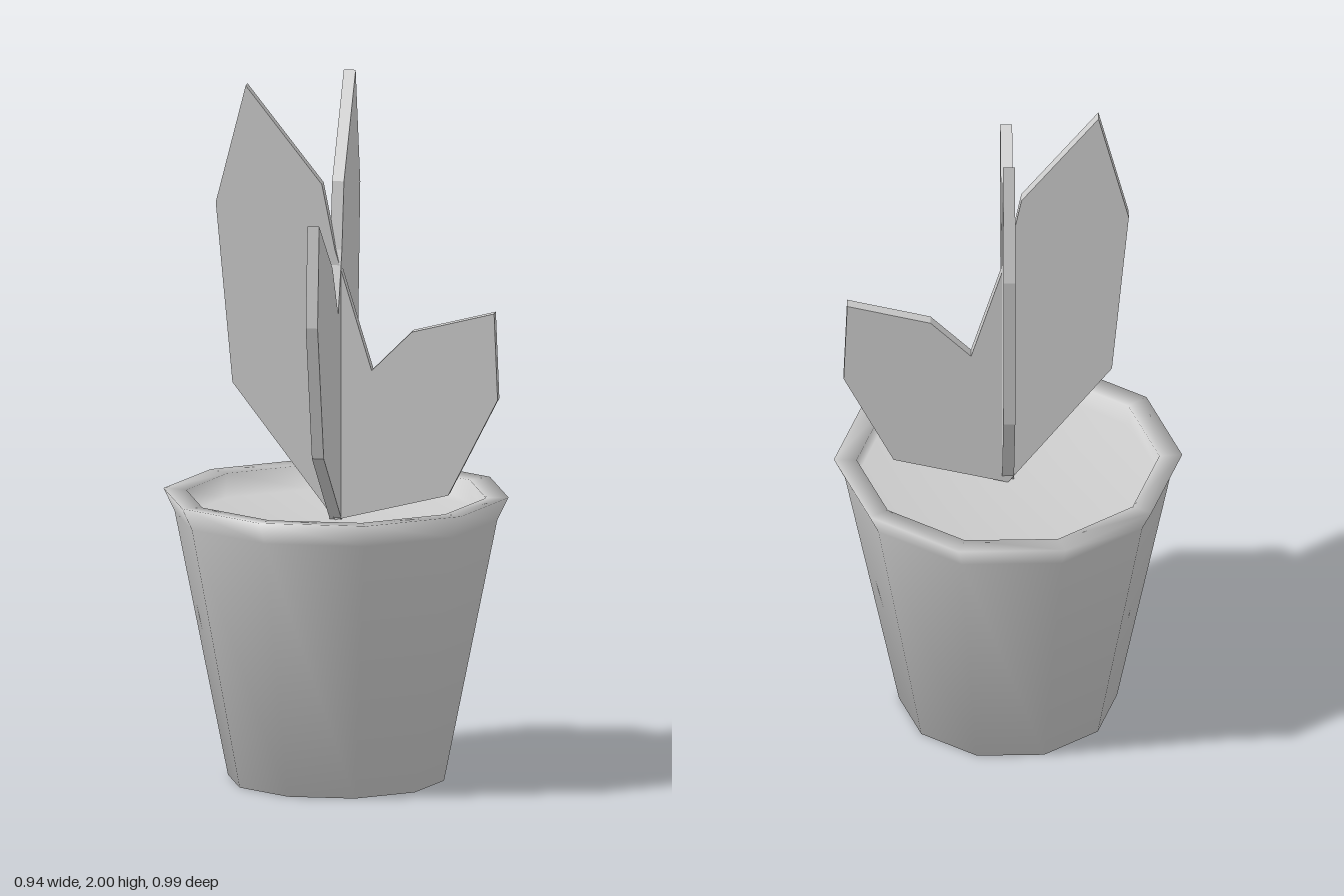
import * as THREE from 'three';

const clay = new THREE.MeshStandardMaterial({ color: 0xcccccc });
clay.name = 'plain grey';

const vectors = (points) => points.map(([x, y]) => new THREE.Vector2(x, y));

// Ten-sided smooth pot: base, tapered wall, flared rim, soil inside
function makePot() {
  const profile = vectors([
    [0, 0], [0.31, 0], [0.463, 0.76], [0.495, 0.825],
    [0.43, 0.822], [0.437, 0.75], [0, 0.75],
  ]);
  const pot = new THREE.Mesh(new THREE.LatheGeometry(profile, 10), clay);
  pot.name = 'pot';
  return pot;
}

// Flat slab leaf reaching outwards from the stem axis
function makeLeaf(name, outline, angle) {
  const thickness = 0.034;
  const geometry = new THREE.ExtrudeGeometry(new THREE.Shape(vectors(outline)), {
    depth: thickness, bevelEnabled: false,
  });
  geometry.translate(0, 0, -thickness / 2);
  const leaf = new THREE.Mesh(geometry, clay);
  leaf.name = name;
  leaf.rotation.y = angle;
  return leaf;
}

export function createModel() {
  const model = new THREE.Group();
  model.name = 'pottedPlant';
  model.add(makePot());

  // Outlines as distance from the axis and height
  const tall = [[0, 0.75], [0.295, 1.14], [0.343, 1.66], [0.257, 2], [0.038, 1.72], [0, 1.53]];
  const middle = [[0, 0.745], [0.34, 0.99], [0.455, 1.39], [0.425, 1.68], [0.175, 1.51], [0.07, 1.355], [0, 1.53]];
  const low = [[0, 0.75], [0.325, 0.83], [0.467, 1.11], [0.457, 1.36], [0.22, 1.3], [0.105, 1.185], [0, 1.53]];

  // Four leaves in a cross, turned slightly about the stem
  const turn = 0.302;
  const leaves = new THREE.Group();
  leaves.name = 'leaves';
  leaves.add(
    makeLeaf('leftLeaf', low, turn),
    makeLeaf('backLeaf', tall, turn + Math.PI / 2),
    makeLeaf('rightLeaf', tall, turn + Math.PI),
    makeLeaf('frontLeaf', middle, turn - Math.PI / 2),
  );
  model.add(leaves);
  return model;
}
